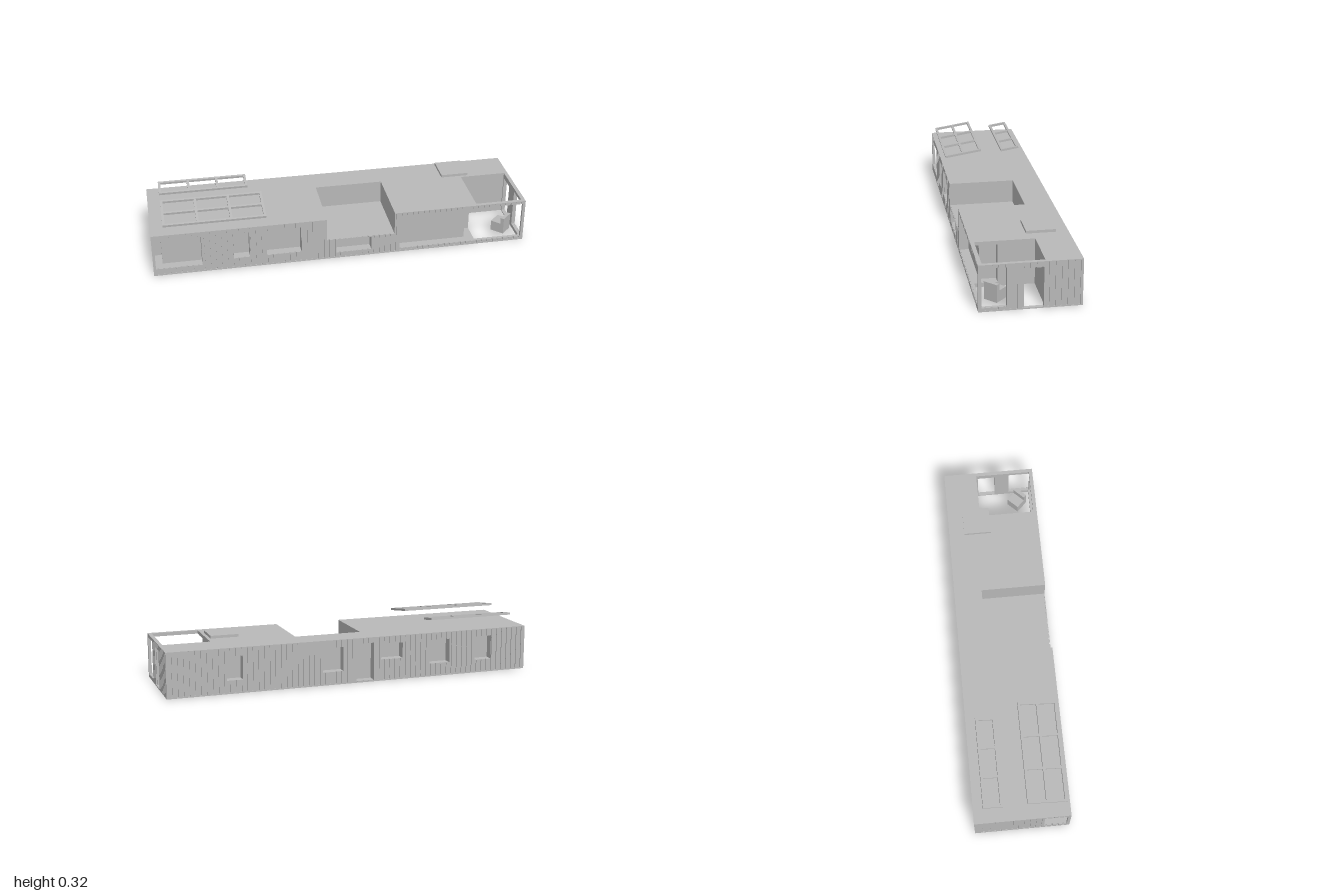
import * as THREE from 'three';
import { mergeGeometries } from 'three/addons/utils/BufferGeometryUtils.js';

const H = 0.24, PITCH = 0.03, GROOVE_W = 0.009, GROOVE_D = 0.006, GROOVE_Y = [0.006, 0.237];

function boxGeo(x0, x1, y0, y1, z0, z1) {
  const g = new THREE.BoxGeometry(x1 - x0, y1 - y0, z1 - z0);
  g.translate((x0 + x1) / 2, (y0 + y1) / 2, (z0 + z1) / 2);
  return g;
}

// Grooved wall along local x, outer face at z = 0. Openings are [u0, u1, y0, y1].
function wallGeo(u0, u1, thick, firstGroove, openings) {
  const grooves = [];
  for (let u = firstGroove; u < u1; u += PITCH) {
    grooves.push([u - GROOVE_W / 2, u + GROOVE_W / 2]);
  }
  const cuts = [u0, u1, ...grooves.flat(), ...openings.flatMap(o => [o[0], o[1]])]
    .filter(u => u >= u0 && u <= u1).sort((a, b) => a - b);
  const parts = [];
  for (let i = 0; i < cuts.length - 1; i++) {
    const a = cuts[i], b = cuts[i + 1], m = (a + b) / 2;
    if (b - a < 1e-5) continue;
    const inGroove = grooves.some(g => m > g[0] && m < g[1]);
    const holes = openings.filter(o => m > o[0] && m < o[1]);
    const ys = [0, H, ...holes.flatMap(o => [o[2], o[3]]), ...(inGroove ? GROOVE_Y : [])]
      .sort((p, q) => p - q);
    for (let j = 0; j < ys.length - 1; j++) {
      const y0 = ys[j], y1 = ys[j + 1], my = (y0 + y1) / 2;
      if (y1 - y0 < 1e-5 || holes.some(o => my > o[2] && my < o[3])) continue;
      const recessed = inGroove && my > GROOVE_Y[0] && my < GROOVE_Y[1];
      parts.push(boxGeo(a, b, y0, y1, -thick, recessed ? -GROOVE_D : 0));
    }
  }
  return mergeGeometries(parts);
}

export function createModel() {
  const model = new THREE.Group();
  model.name = 'containerHouse';
  const grey = new THREE.MeshStandardMaterial({ color: 0xb8b8b8 });
  grey.name = 'grey';

  const add = (name, geo, parent = model) => {
    const mesh = new THREE.Mesh(geo, grey);
    mesh.name = name;
    parent.add(mesh);
    return mesh;
  };
  const box = (name, ...b) => add(name, boxGeo(...b));

  // Solid rooms behind the cladding, leaving the balcony and patio empty
  box('leftRooms', -0.95, -0.085, 0, H, -0.2, 0.2);
  box('balconyBackRoom', -0.085, 0.28, 0, H, -0.2, -0.1);
  box('balconyFloor', -0.085, 0.28, 0, 0.115, -0.1, 0.2);
  box('rightRooms', 0.28, 0.68, 0, H, -0.2, 0.2);
  box('patioSideWall', 0.68, 0.73, 0, H, -0.2, 0.115);
  box('patioWindowSill', 0.68, 0.73, 0, 0.02, 0.115, 0.2);
  box('patioWindowLintel', 0.68, 0.73, 0.22, H, 0.115, 0.2);
  box('patioBackRoom', 0.73, 0.98, 0, H, -0.2, -0.07);

  // Front wall: corner window, two windows, balcony, low window, patio opening
  const frontOpenings = [
    [-0.987, -0.745, 0.04, 0.21],
    [-0.58, -0.495, 0.06, 0.207],
    [-0.405, -0.222, 0.06, 0.207],
    [-0.085, 0.28, 0.115, H],
    [-0.035, 0.155, 0.033, 0.108],
    [0.31, 0.985, 0.02, 0.222],
  ];
  const G = -0.975;
  add('frontCornerPost', wallGeo(-1, -0.987, 0.015, G, [])).position.z = 0.25;
  add('frontWall', wallGeo(-0.987, 0.73, 0.05, G, frontOpenings)).position.z = 0.25;
  add('patioFrontFrame', wallGeo(0.73, 0.985, 0.02, G, frontOpenings)).position.z = 0.25;
  add('patioCornerPost', wallGeo(0.985, 1, 0.015, G, [])).position.z = 0.25;

  // Back wall, given in its own direction (u = -x)
  const back = add('backWall', wallGeo(-0.99, 0.99, 0.05, G, [
    [-0.69, -0.605, 0.07, 0.195],
    [-0.175, -0.062, 0.07, 0.2],
    [0.014, 0.11, 0.008, 0.21],
    [0.15, 0.273, 0.115, 0.2],
    [0.432, 0.547, 0.07, 0.2],
    [0.698, 0.797, 0.07, 0.2],
  ]));
  back.rotation.y = Math.PI;
  back.position.z = -0.25;

  // Left end (u = z) with the side of the corner window
  for (const geo of [
    wallGeo(-0.25, -0.2, 0.01, -0.203, []),
    wallGeo(-0.2, 0.235, 0.05, -0.203, [[0.115, 0.235, 0.04, 0.21]]),
  ]) {
    const m = add('leftEndWall', geo);
    m.rotation.y = -Math.PI / 2;
    m.position.x = -1;
  }

  // Right end (u = -z) with the patio window and door
  for (const geo of [
    wallGeo(0.2, 0.25, 0.01, -0.217, []),
    wallGeo(-0.235, 0.2, 0.02, -0.217, [
      [-0.235, -0.115, 0.02, 0.222],
      [-0.033, 0.062, 0.006, 0.21],
    ]),
  ]) {
    const m = add('rightEndWall', geo);
    m.rotation.y = Math.PI / 2;
    m.position.x = 1;
  }

  // Tilted open frames above the roof
  const roofFrame = (name, x0, x1, length, y, z, rows, tilt) => {
    const bar = 0.013, t = 0.006, h = length / 2, cols = 3, parts = [];
    for (let c = 0; c <= cols; c++) {
      const x = x0 + (x1 - x0 - bar) * c / cols;
      parts.push(boxGeo(x, x + bar, -t, t, -h, h));
    }
    for (let r = 0; r <= rows; r++) {
      const s = -h + (length - bar) * r / rows;
      parts.push(boxGeo(x0, x1, -t, t, s, s + bar));
    }
    const m = add(name, mergeGeometries(parts));
    m.position.set(0, y, z);
    m.rotation.x = tilt;
  };
  roofFrame('frontPanelFrame', -0.935, -0.4, 0.208, 0.301, 0.1315, 2, 0.155);
  roofFrame('backPanelFrame', -0.935, -0.46, 0.103, 0.296, -0.147, 1, 0.155);

  // Floating roof hatch
  box('roofHatch', 0.603, 0.75, 0.277, 0.291, -0.167, -0.02);

  // Patio chair, turned 45 degrees
  const chair = new THREE.Group();
  chair.name = 'patioChair';
  add('chairSeat', boxGeo(-0.038, 0.038, 0.02, 0.077, -0.038, 0.038), chair);
  add('chairBack', boxGeo(-0.038, 0.038, 0.077, 0.112, 0.018, 0.038), chair);
  chair.position.set(0.901, 0, 0.155);
  chair.rotation.y = Math.PI / 4;
  model.add(chair);

  return model;
}
